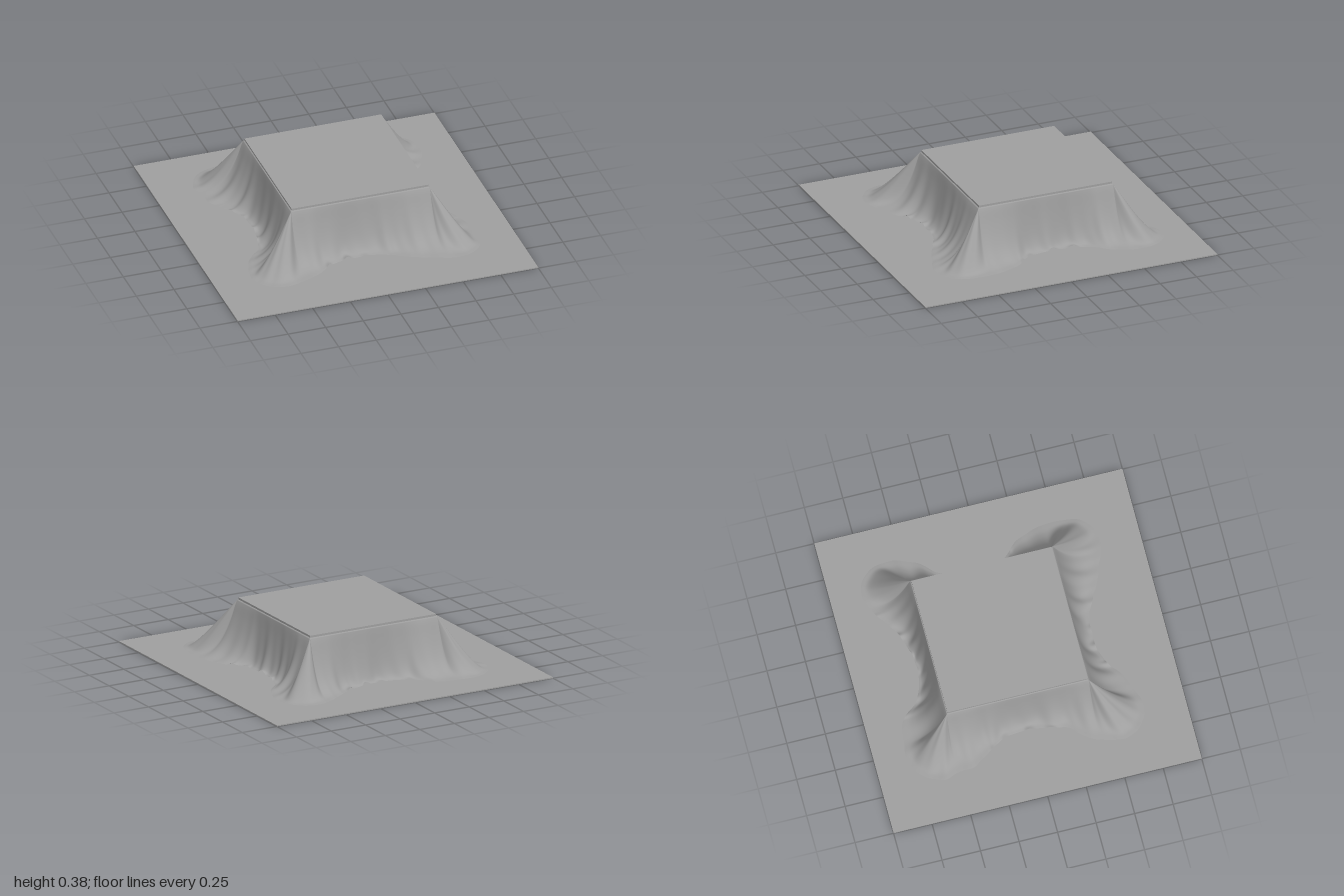
import * as THREE from 'three';

// tabletop rectangle
const X0 = -0.435, X1 = 0.475, Z0 = -0.505, Z1 = 0.405;
const { clamp, lerp, smoothstep } = THREE.MathUtils;

// hem of the cloth on the floor (x, z), clockwise from above
const HEM = [
  [-0.715, -0.51], [-0.74, -0.6], [-0.69, -0.72], [-0.58, -0.79], [-0.45, -0.79], [-0.32, -0.77],
  [-0.25, -0.71], [-0.19, -0.645], [-0.07, -0.595], [0.02, -0.585], [0.14, -0.595], [0.27, -0.645],
  [0.37, -0.7], [0.46, -0.76], [0.58, -0.8], [0.68, -0.77], [0.75, -0.665], [0.76, -0.56],
  [0.705, -0.41], [0.62, -0.31], [0.58, -0.18], [0.57, 0], [0.61, 0.14], [0.685, 0.22],
  [0.74, 0.35], [0.76, 0.5], [0.73, 0.65], [0.64, 0.73], [0.53, 0.74], [0.42, 0.7],
  [0.3, 0.655], [0.21, 0.61], [0.11, 0.555], [-0.02, 0.54], [-0.21, 0.565], [-0.34, 0.655],
  [-0.48, 0.715], [-0.6, 0.73], [-0.7, 0.68], [-0.755, 0.575], [-0.73, 0.43], [-0.67, 0.31],
  [-0.6, 0.24], [-0.56, 0.08], [-0.555, -0.13], [-0.6, -0.24], [-0.66, -0.32], [-0.705, -0.4],
];

// fall of the cloth: fraction of the way out to the hem, height
const fall = (points) => new THREE.CatmullRomCurve3(points.map(([t, y]) => new THREE.Vector3(t, y, 0)));
const CORNER_FALL = fall([
  [0, 0.362], [0.04, 0.345], [0.18, 0.285], [0.34, 0.215], [0.55, 0.13], [0.74, 0.065], [0.88, 0.03], [1, 0.022],
]);
const SIDE_FALL = fall([
  [0, 0.362], [0.04, 0.335], [0.13, 0.26], [0.25, 0.18], [0.4, 0.11], [0.58, 0.06], [0.78, 0.032], [1, 0.022],
]);

function clothGeometry() {
  const N = 560, R = 30;
  const hem = new THREE.CatmullRomCurve3(HEM.map(([x, z]) => new THREE.Vector3(x, 0, z)), true);
  hem.arcLengthDivisions = 1000;
  const pos = [], index = [];
  const cx = (X0 + X1) / 2, cz = (Z0 + Z1) / 2;
  const e = 0.005; // cloth shows slightly beyond the board
  const rows = R + 3;
  for (let i = 0; i < rows; i++) {
    for (let j = 0; j < N; j++) {
      const u = j / N, a = u * Math.PI * 2;
      const h = hem.getPointAt(u);
      const tx = clamp(h.x, X0 - e, X1 + e), tz = clamp(h.z, Z0 - e, Z1 + e);
      if (i < 2) { // flat sheet under the board
        const k = i * 0.985;
        pos.push(cx + (tx - cx) * k, 0.363, cz + (tz - cz) * k);
        continue;
      }
      const dx = h.x - tx, dz = h.z - tz, len = Math.hypot(dx, dz);
      // steep, flaring panels on the sides; straighter cones at the corners
      const ax = Math.abs(dx), az = Math.abs(dz);
      const corner = smoothstep(Math.min(ax, az) / Math.max(ax, az), 0, 0.6);
      const s = (i - 2) / R;
      const f = SIDE_FALL.getPoint(s).lerp(CORNER_FALL.getPoint(s), corner);
      const t = f.x;
      // folds run down the cloth and fade at the top edge and the hem
      const fold = 0.5 * Math.sin(17 * a + 1.3) + 0.6 * Math.sin(29 * a + 2 * Math.sin(3 * a) - t)
        + 0.3 * Math.sin(53 * a + 2 * Math.sin(5 * a) + 2 * t);
      const push = lerp(0.011, 0.007, corner) * fold * Math.sin(Math.PI * Math.min(1, t * 0.92)) * (0.5 + t);
      // small arches where the short sides of the hem lift off the floor
      const side = clamp((0.24 - len) / 0.08, 0, 1);
      const ripple = Math.max(0, Math.sin(37 * a + 3 * Math.sin(4 * a)) * Math.sin(11 * a + 0.7));
      const lift = 0.04 * side * ripple ** 2 * t ** 4;
      const y = f.y + lift + 0.3 * push * t;
      pos.push(tx + dx * t + dx / len * push, Math.max(0.018, y), tz + dz * t + dz / len * push);
    }
  }
  for (let i = 0; i < rows - 1; i++) {
    for (let j = 0; j < N; j++) {
      const k = (j + 1) % N;
      const p = i * N + j, q = i * N + k, r = p + N, s = q + N;
      if (i > 0) index.push(p, q, r);
      index.push(q, s, r);
    }
  }
  const g = new THREE.BufferGeometry();
  g.setAttribute('position', new THREE.Float32BufferAttribute(pos, 3));
  g.setIndex(index);
  g.computeVertexNormals();
  return g;
}

export function createModel() {
  const model = new THREE.Group();
  const material = new THREE.MeshStandardMaterial({ color: 0x9e9e9e });
  const clothMaterial = new THREE.MeshStandardMaterial({ color: 0x9e9e9e, side: THREE.DoubleSide });
  const add = (name, geometry, mat, x, y, z) => {
    const mesh = new THREE.Mesh(geometry, mat);
    mesh.name = name;
    mesh.position.set(x, y, z);
    model.add(mesh);
  };

  // floor mat
  add('floorMat', new THREE.BoxGeometry(2, 0.007, 2), material, 0, 0.0035, 0);
  // draped blanket
  add('blanket', clothGeometry(), clothMaterial, 0, 0, 0);
  // tabletop board resting on the blanket
  add('tabletop', new THREE.BoxGeometry(X1 - X0, 0.013, Z1 - Z0), material,
    (X0 + X1) / 2, 0.3705, (Z0 + Z1) / 2);

  return model;
}
